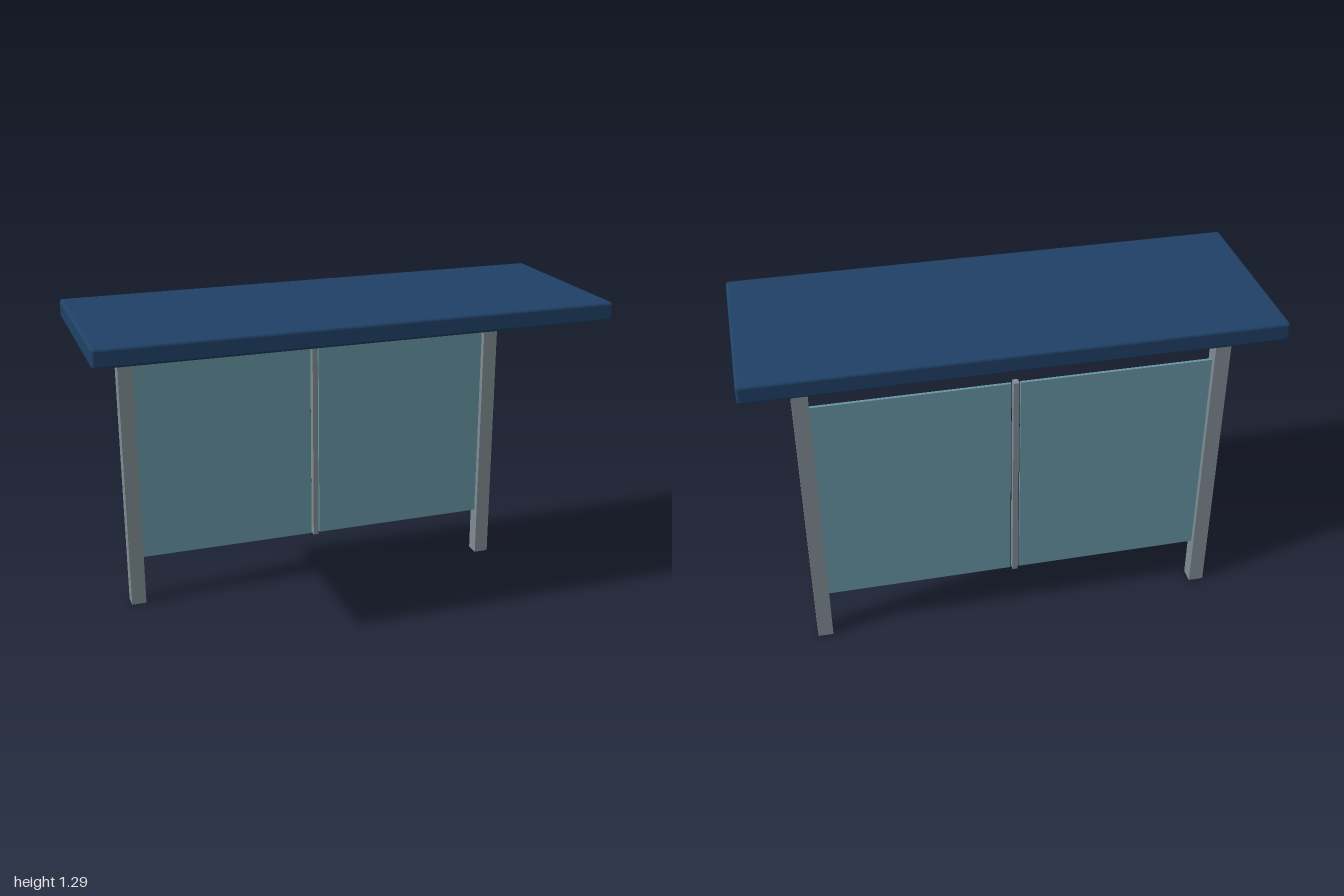
import * as THREE from 'three';
import { RoundedBoxGeometry } from 'three/addons/geometries/RoundedBoxGeometry.js';

export function createModel() {
  const model = new THREE.Group();
  model.name = 'shelter';

  const material = (name, color) => {
    const m = new THREE.MeshStandardMaterial({ color });
    m.name = name;
    return m;
  };
  const roofBlue = material('roof blue', 0x204166);
  const steel = material('steel grey', 0x808c93);
  const glass = material('pane teal', 0x6696a4);

  const add = (name, geometry, mat, x, y, z) => {
    const mesh = new THREE.Mesh(geometry, mat);
    mesh.name = name;
    mesh.position.set(x, y, z);
    model.add(mesh);
  };

  const backZ = -0.26; // plane of the posts and panes
  const roofBottom = 1.215, roofTop = 1.288;

  // Flat roof slab with softened edges
  add('roof', new RoundedBoxGeometry(2, roofTop - roofBottom, 0.76, 3, 0.012), roofBlue,
    0, (roofTop + roofBottom) / 2, 0);

  // Mirrored posts and back panes
  const post = new THREE.BoxGeometry(0.06, roofBottom, 0.06);
  const paneInner = 0.018, paneOuter = 0.758;
  const pane = new THREE.BoxGeometry(paneOuter - paneInner, 0.894, 0.012);
  for (const [side, s] of [['left', 1], ['right', -1]]) {
    add(side + 'Post', post, steel, s * 0.787, roofBottom / 2, backZ);
    add(side + 'Pane', pane, glass, s * (paneInner + paneOuter) / 2, 0.647, backZ);
  }

  // Slim upright between the panes
  add('centreMullion', new THREE.BoxGeometry(0.022, 0.904, 0.03), steel, 0, 0.647, backZ);

  return model;
}
